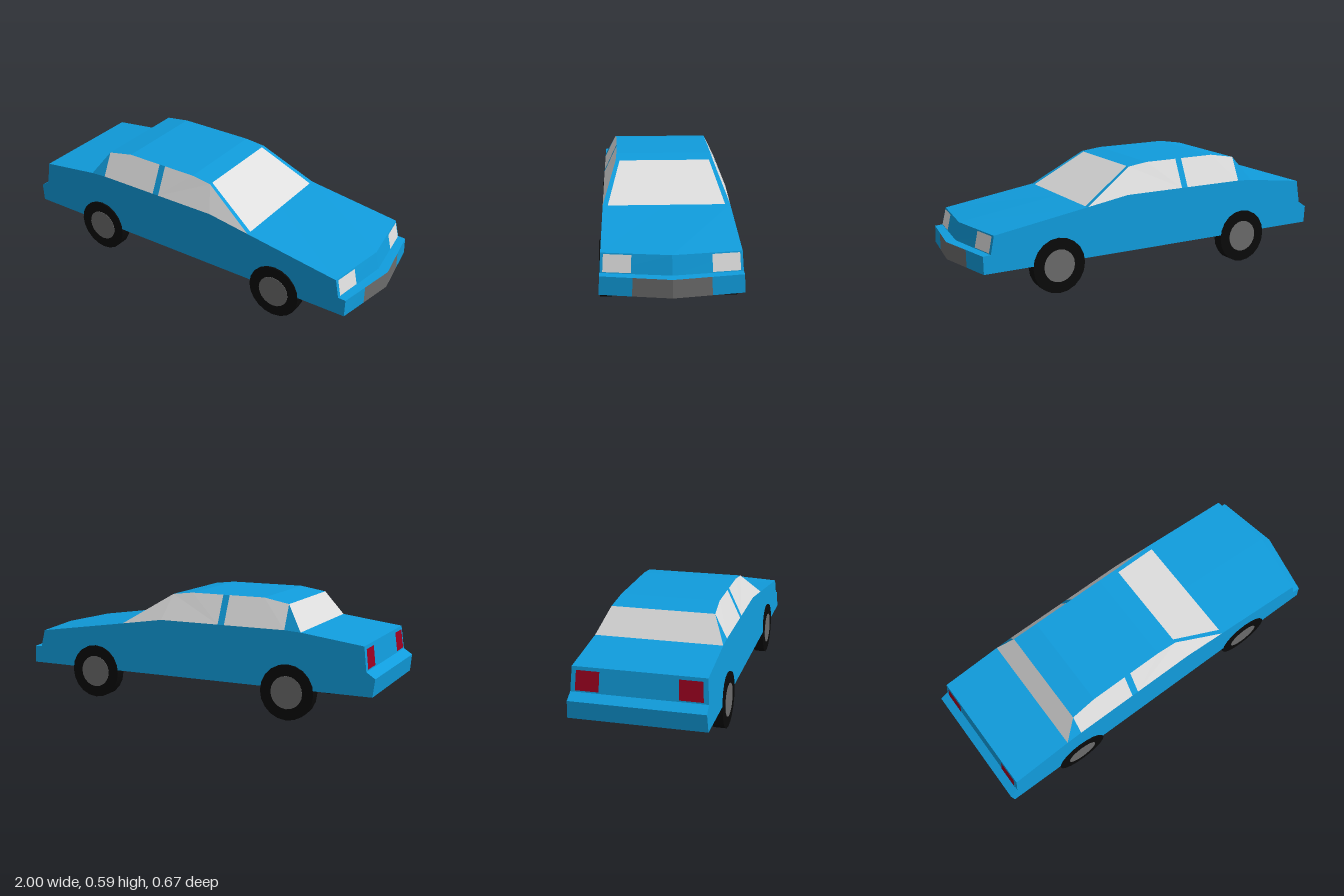
import * as THREE from 'three';

const paint = (name, color) => {
  const m = new THREE.MeshStandardMaterial({ color });
  m.name = name;
  return m;
};

export function createModel() {
  const car = new THREE.Group();
  car.name = 'car';
  const blue = paint('blue paint', 0x109cdc);
  const glass = paint('pale glass', 0xdedede);
  const grey = paint('grey metal', 0x6c6c6c);
  const black = paint('black rubber', 0x0a0a0a);
  const red = paint('red lens', 0x9c0020);

  // Half width of the body at height y: near-upright flanks, then cabin leaning in
  const halfWidth = (y) => y <= 0.445
    ? 0.333 - (y - 0.155) * 0.055
    : THREE.MathUtils.lerp(0.317, 0.25, Math.min(1, (y - 0.445) / 0.137));

  const addMesh = (name, geometry, material) => {
    const mesh = new THREE.Mesh(geometry, material);
    mesh.name = name;
    car.add(mesh);
    return mesh;
  };

  const fromTriangles = (name, points, material) => {
    const g = new THREE.BufferGeometry();
    g.setAttribute('position', new THREE.Float32BufferAttribute(points.flat(), 3));
    g.computeVertexNormals();
    return addMesh(name, g, material);
  };

  // Strip across the car between stations [x at side, y, x at centre];
  // from and to are fractions of the half width
  const strip = (name, a, b, material, from = -1, to = 1, lift = 0) => {
    const at = ([x, y, xc = x], f) =>
      [THREE.MathUtils.lerp(xc, x, Math.abs(f)) + lift, y, f * halfWidth(y)];
    const cuts = from < 0 && to > 0 ? [from, 0, to] : [from, to];
    const points = [];
    for (let i = 0; i < cuts.length - 1; i++) {
      const a0 = at(a, cuts[i]), a1 = at(a, cuts[i + 1]);
      const b0 = at(b, cuts[i]), b1 = at(b, cuts[i + 1]);
      points.push(a0, a1, b1, a0, b1, b0);
    }
    fromTriangles(name, points, material);
  };

  // Outlined panel wrapped on both flanks of the car
  const sidePanel = (name, outline, material) => {
    const shape = new THREE.Shape(outline.map(([x, y]) => new THREE.Vector2(x, y)));
    const flat = new THREE.ShapeGeometry(shape).toNonIndexed().attributes.position;
    const left = [];
    for (let i = 0; i < flat.count; i++) {
      left.push([flat.getX(i), flat.getY(i), halfWidth(flat.getY(i))]);
    }
    fromTriangles(name + 'Left', left, material);
    const right = left.map(([x, y, z]) => [x, y, -z]).reverse();
    fromTriangles(name + 'Right', right, material);
  };

  // Stations along the profile, from the rear bottom over the roof to the nose
  const rearBottom = [-0.99, 0.162], rearBumper = [-1, 0.25], tailLow = [-0.955, 0.28];
  const tailTop = [-0.94, 0.4], deck = [-0.62, 0.44], roofRear = [-0.535, 0.565];
  const roofA = [-0.4, 0.588], roofB = [0, 0.588], roofFront = [0.11, 0.575];
  const cowl = [0.38, 0.41], noseTop = [0.88, 0.335, 0.93], noseLow = [0.9, 0.245, 0.95];
  const bumperTop = [0.94, 0.243, 1], bumperLow = [0.94, 0.155, 1];

  // Blue shell
  strip('rearBumper', rearBottom, rearBumper, blue);
  strip('rearBumperLedge', rearBumper, tailLow, blue);
  strip('tailPanel', tailLow, tailTop, blue);
  strip('trunkLid', tailTop, deck, blue);
  strip('roofRear', roofRear, roofA, blue);
  strip('roof', roofA, roofB, blue);
  strip('roofFront', roofB, roofFront, blue);
  strip('hood', cowl, noseTop, blue);
  strip('nosePanel', noseTop, noseLow, blue);
  strip('frontBumperLedge', noseLow, bumperTop, blue);
  strip('floor', bumperLow, rearBottom, blue);
  sidePanel('flank', [rearBottom, rearBumper, tailLow, tailTop, deck, [-0.535, 0.445],
    [0.15, 0.445], cowl, noseTop, noseLow, bumperTop, bumperLow], blue);

  // Cabin glass and pillars
  strip('rearWindow', deck, roofRear, glass);
  strip('windshield', roofFront, cowl, glass, -0.92, 0.92);
  sidePanel('rearPillar', [deck, [-0.535, 0.445], roofRear], blue);
  sidePanel('rearSideWindow', [[-0.535, 0.445], [-0.21, 0.445], [-0.21, 0.588], roofA, roofRear], glass);
  sidePanel('doorPillar', [[-0.21, 0.445], [-0.175, 0.445], [-0.175, 0.588], [-0.21, 0.588]], blue);
  sidePanel('frontSideWindow', [[-0.175, 0.445], [0.15, 0.445], cowl, roofFront, roofB, [-0.175, 0.588]], glass);

  // Front bumper with its grey middle
  strip('bumperCentre', bumperTop, bumperLow, grey, -0.545, 0.545);

  // Parts mirrored left and right: pillars, bumper ends, lamps
  for (const [side, s] of [['Left', 1], ['Right', -1]]) {
    const pair = (name, a, b, material, f0, f1, lift) =>
      strip(name + side, a, b, material, Math.min(s * f0, s * f1), Math.max(s * f0, s * f1), lift);
    pair('windshieldPillar', roofFront, cowl, blue, 0.92, 1);
    pair('bumperEnd', bumperTop, bumperLow, blue, 0.545, 1);
    pair('headlight', [0.881, 0.33, 0.931], [0.899, 0.25, 0.949], glass, 0.565, 0.96, 0.003);
    pair('tailLight', [-0.954, 0.288], [-0.942, 0.384], red, 0.58, 0.93, -0.003);
  }

  // Wheels with hubs showing on both faces
  const tyreShape = new THREE.CylinderGeometry(0.14, 0.14, 0.058, 20).rotateX(Math.PI / 2);
  const hubShape = new THREE.CylinderGeometry(0.083, 0.083, 0.062, 20).rotateX(Math.PI / 2);
  for (const [end, x] of [['front', 0.546], ['rear', -0.557]]) {
    for (const [side, s] of [['Left', 1], ['Right', -1]]) {
      addMesh(end + 'Tyre' + side, tyreShape, black).position.set(x, 0.14, s * 0.306);
      addMesh(end + 'Hub' + side, hubShape, grey).position.set(x, 0.14, s * 0.306);
    }
  }
  return car;
}
